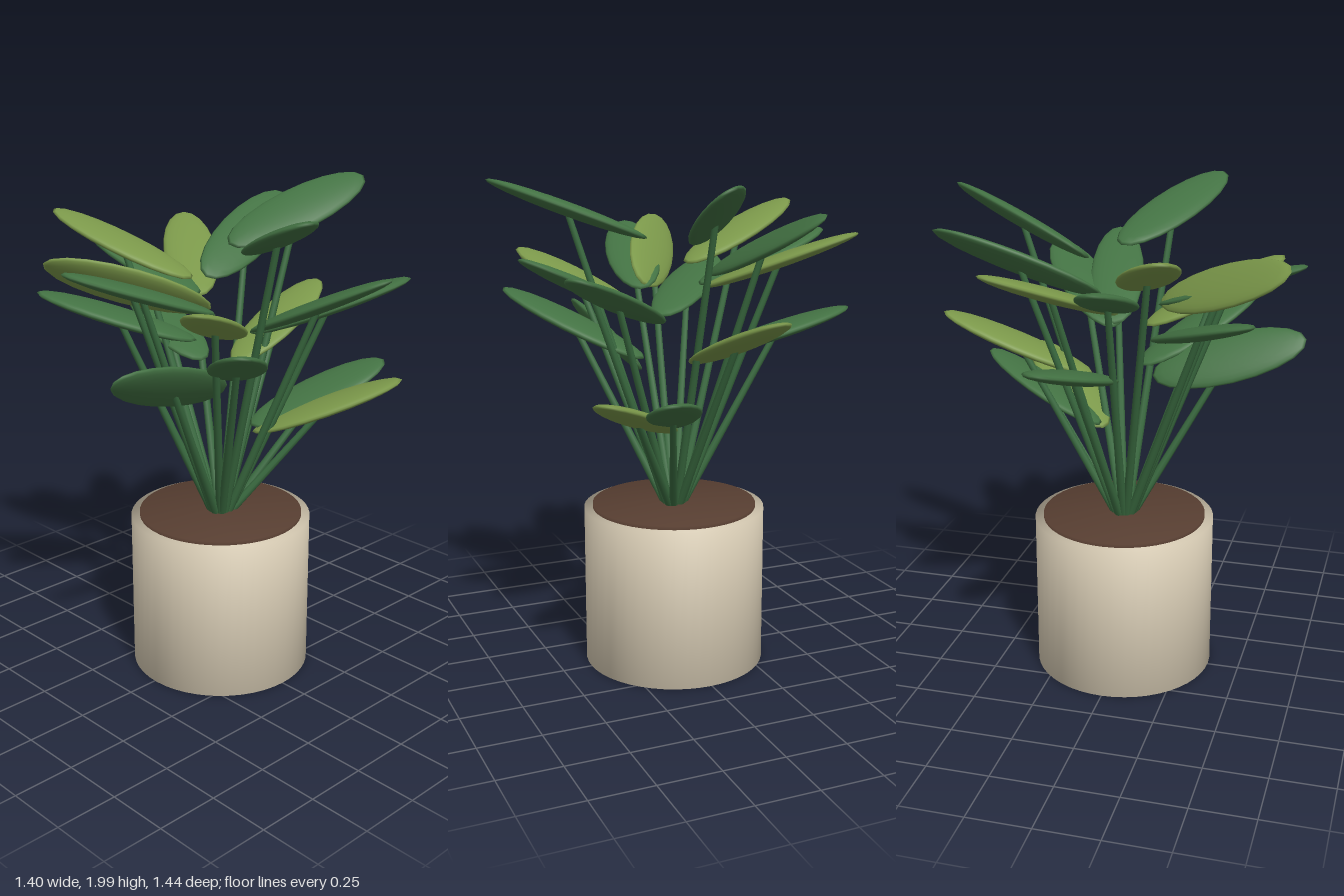
import * as THREE from 'three';
import { mergeVertices } from 'three/addons/utils/BufferGeometryUtils.js';

const flat = (name, color) => {
  const m = new THREE.MeshStandardMaterial({ color });
  m.name = name;
  return m;
};

// Cylinder whose rim normals are blended, giving soft shading across the edges
function softCylinder(radius, y0, y1) {
  let g = new THREE.CylinderGeometry(radius, radius, y1 - y0, 48);
  g.deleteAttribute('uv');
  g.deleteAttribute('normal');
  g = mergeVertices(g);
  g.computeVertexNormals();
  return g.translate(0, (y0 + y1) / 2, 0);
}

// Each leaf: base x, y, z, tip x, y, z, roll in degrees, 1 = light green
const LEAVES = [
  [-0.13, 1.62, -0.05, -0.29, 1.87, -0.67, 30, 0],
  [-0.03, 1.27, -0.12, -0.12, 1.51, -0.71, 0, 1],
  [-0.07, 1.75, -0.12, 0.11, 1.98, -0.72, 30, 0],
  [0.06, 1.02, -0.12, 0.30, 1.24, -0.67, 10, 0],
  [0.08, 1.00, -0.11, 0.51, 1.23, -0.53, 0, 1],
  [0.10, 1.43, -0.07, 0.59, 1.67, -0.45, 0, 0],
  [0.11, 1.44, -0.07, 0.70, 1.72, -0.20, 0, 0],
  [0.14, 1.76, -0.05, 0.69, 1.98, 0.26, 10, 0],
  [0.12, 1.27, 0.04, 0.58, 1.53, 0.45, 0, 0],
  [0.12, 1.44, 0.06, 0.48, 1.68, 0.56, 0, 1],
  [0.12, 1.23, 0.09, 0.19, 1.41, 0.70, 50, 0],
  [0.10, 1.54, 0.12, -0.06, 1.76, 0.72, 0, 0],
  [0.09, 1.56, 0.13, -0.22, 1.77, 0.68, 45, 1],
  [0.01, 1.42, 0.13, -0.42, 1.61, 0.57, 0, 0],
  [-0.08, 1.64, 0.07, -0.65, 1.87, 0.30, 0, 1],
  [-0.11, 1.56, 0.01, -0.70, 1.76, 0.08, 0, 0],
  [-0.12, 1.28, -0.02, -0.70, 1.46, -0.16, 0, 0],
  [-0.12, 1.55, 0.00, -0.61, 1.78, -0.37, 0, 1],
];

export function createModel() {
  const potMat = flat('cream ceramic', 0xdbcfb7);
  const soilMat = flat('brown soil', 0x573e31);
  const stemMat = flat('stem green', 0x3a6b40);
  const leafMats = [flat('leaf green', 0x437243), flat('light leaf green', 0x7b984a)];

  const root = new THREE.Group();
  root.name = 'pottedPlant';
  const add = (name, geometry, material, parent = root) => {
    const mesh = new THREE.Mesh(geometry, material);
    mesh.name = name;
    parent.add(mesh);
    return mesh;
  };

  // Pot and soil
  const cx = 0.008;
  add('pot', softCylinder(0.37, 0, 0.655), potMat).position.x = cx;
  add('soil', softCylinder(0.335, 0.6, 0.67), soilMat).position.x = cx;

  const blade = new THREE.SphereGeometry(1, 20, 12);
  const up = new THREE.Vector3(0, 1, 0);

  LEAVES.forEach(([bx, by, bz, tx, ty, tz, roll, light], i) => {
    const frond = new THREE.Group();
    frond.name = `frond${i + 1}`;
    root.add(frond);

    const base = new THREE.Vector3(bx, by, bz);
    const tip = new THREE.Vector3(tx, ty, tz);
    const centre = base.clone().lerp(tip, 0.5);

    // Leaf blade: flattened ellipsoid, rolled about its length
    const along = tip.clone().sub(base);
    const half = along.length() / 2;
    along.normalize();
    const side = along.clone().cross(up).normalize();
    const normal = side.clone().cross(along).applyAxisAngle(along, THREE.MathUtils.degToRad(roll));
    side.copy(along).cross(normal);
    const leaf = add('leaf', blade, leafMats[light], frond);
    leaf.position.copy(centre);
    leaf.scale.set(half, 0.028, 0.112);
    leaf.quaternion.setFromRotationMatrix(new THREE.Matrix4().makeBasis(along, normal, side));

    // Straight stem from the soil to the middle of the leaf
    const a = Math.atan2(centre.z, centre.x);
    const foot = new THREE.Vector3(cx + 0.025 * Math.cos(a), 0.64, 0.025 * Math.sin(a));
    const run = centre.clone().sub(foot);
    const stem = add('stem', new THREE.CylinderGeometry(0.013, 0.018, run.length(), 8), stemMat, frond);
    stem.position.copy(foot).lerp(centre, 0.5);
    stem.quaternion.setFromUnitVectors(up, run.normalize());
  });

  return root;
}
